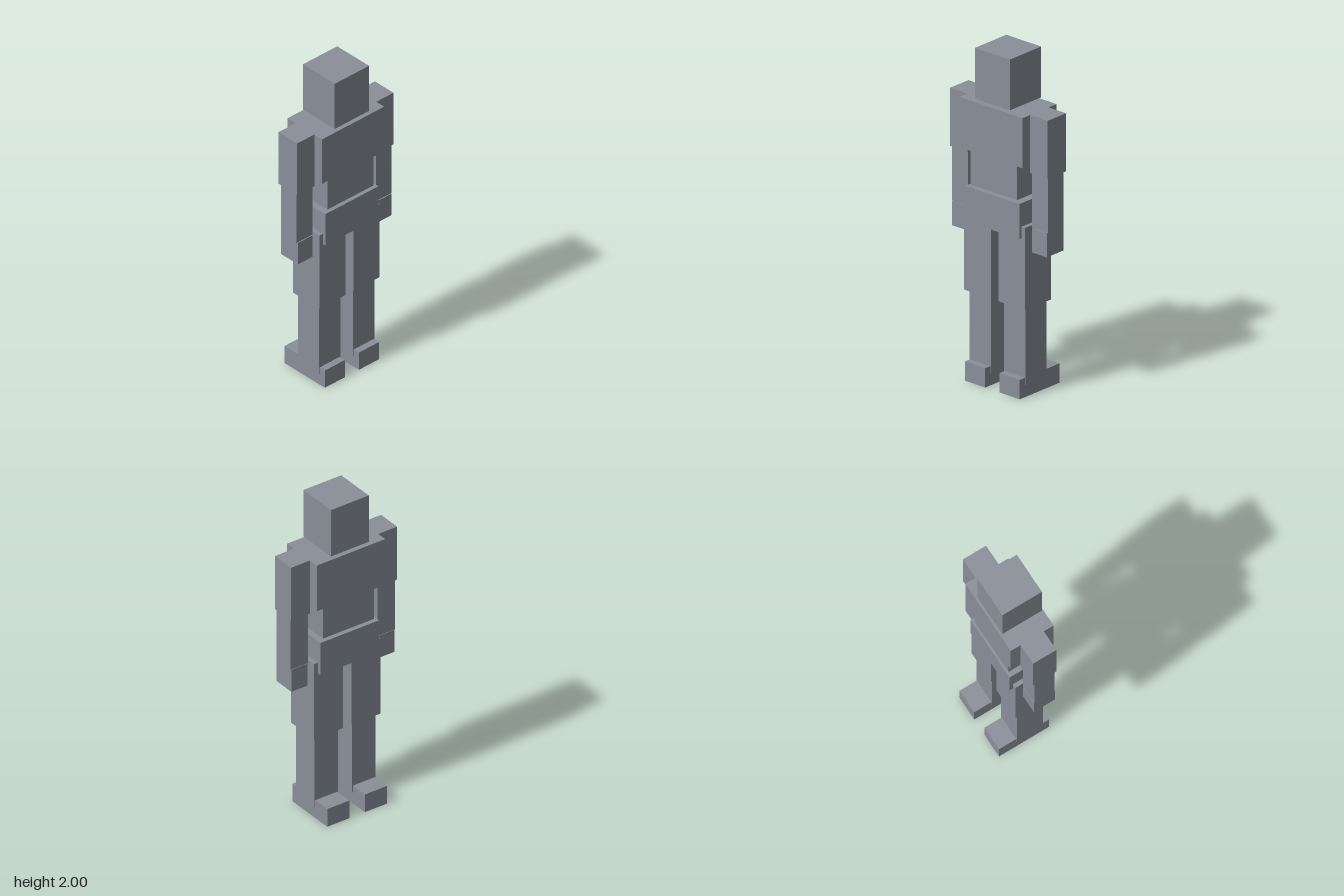
import * as THREE from 'three';

export function createModel() {
  const model = new THREE.Group();
  model.name = 'blockFigure';

  const grey = new THREE.MeshStandardMaterial({ color: 0x8a8f99 });
  grey.name = 'slateGrey';

  // Adds a box given its extents along each axis
  function block(name, parent, [x0, x1], [y0, y1], [z0, z1]) {
    const mesh = new THREE.Mesh(new THREE.BoxGeometry(x1 - x0, y1 - y0, z1 - z0), grey);
    mesh.name = name;
    mesh.position.set((x0 + x1) / 2, (y0 + y1) / 2, (z0 + z1) / 2);
    parent.add(mesh);
  }

  // Head and torso, centred on x
  block('head', model, [-0.129, 0.129], [1.698, 2], [-0.101, 0.157]);
  block('chest', model, [-0.233, 0.233], [1.385, 1.683], [-0.112, 0.168]);
  block('abdomen', model, [-0.173, 0.173], [1.173, 1.385], [-0.088, 0.146]);
  block('pelvis', model, [-0.2, 0.2], [0.951, 1.16], [-0.1, 0.157]);

  // Limb segments: name, inner and outer x, y range, z range
  const arm = [
    ['UpperArm', [0.233, 0.362], [1.338, 1.683], [-0.047, 0.104]],
    ['Forearm', [0.238, 0.357], [1.01, 1.338], [-0.034, 0.094]],
    ['Hand', [0.243, 0.352], [0.867, 1.01], [-0.037, 0.1]],
  ];
  const leg = [
    ['Thigh', [0.029, 0.226], [0.53, 1.02], [-0.076, 0.138]],
    ['Shin', [0.047, 0.209], [0.073, 0.53], [-0.056, 0.115]],
    ['Foot', [0.053, 0.203], [0, 0.115], [-0.169, 0.157]],
  ];

  // Mirrored arms and legs
  for (const [side, s] of [['left', 1], ['right', -1]]) {
    for (const [limbName, parts] of [['Arm', arm], ['Leg', leg]]) {
      const limb = new THREE.Group();
      limb.name = side + limbName;
      for (const [name, [inner, outer], y, z] of parts) {
        block(side + name, limb, s > 0 ? [inner, outer] : [-outer, -inner], y, z);
      }
      model.add(limb);
    }
  }

  return model;
}
